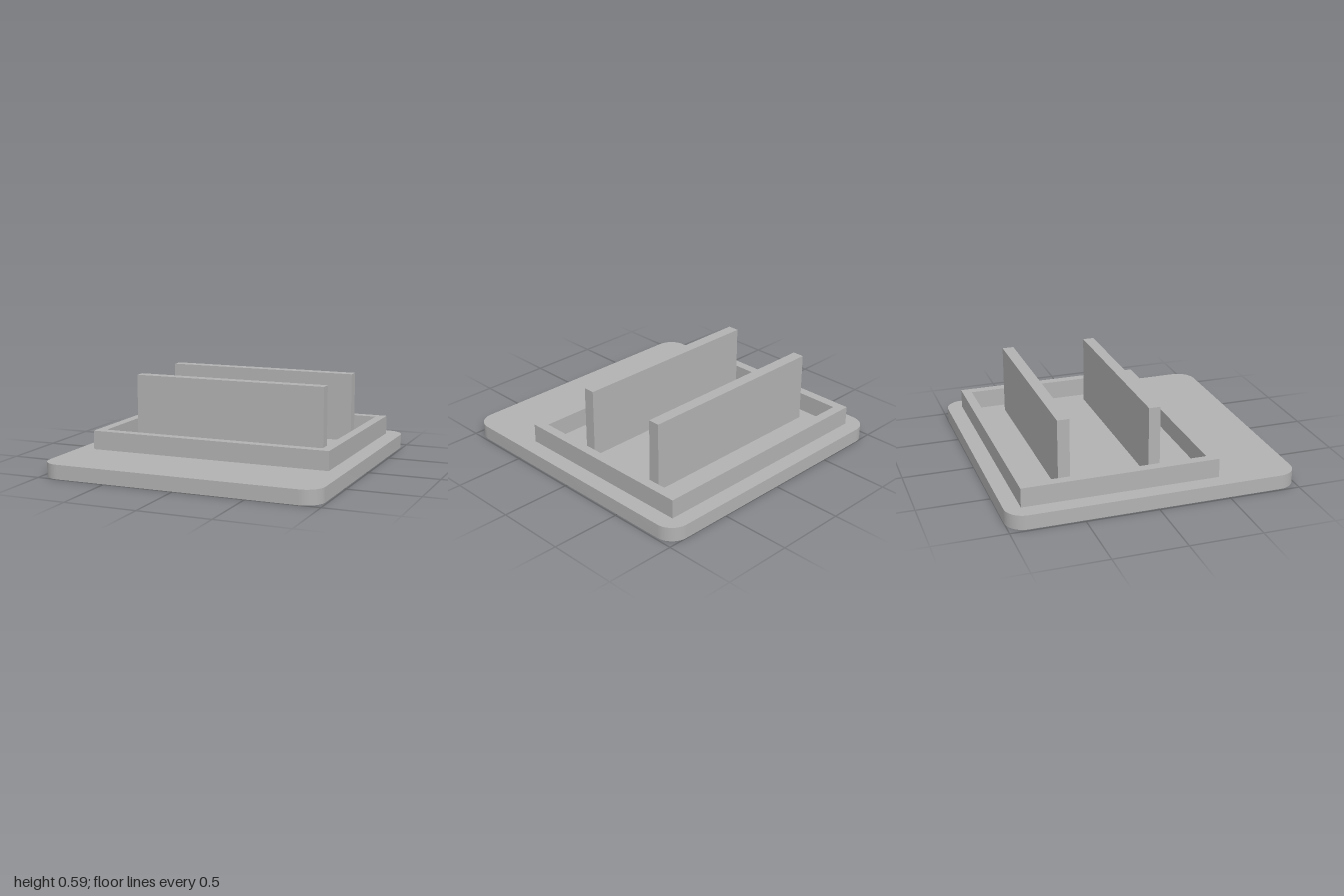
import * as THREE from 'three';
import { toCreasedNormals } from 'three/addons/utils/BufferGeometryUtils.js';

// Extrude a plan outline (x, -z) upward from y0 to y1
function slab(name, shape, y0, y1, material) {
  const extruded = new THREE.ExtrudeGeometry(shape, { depth: y1 - y0, bevelEnabled: false, curveSegments: 16 });
  extruded.rotateX(-Math.PI / 2).translate(0, y0, 0);
  const mesh = new THREE.Mesh(toCreasedNormals(extruded, Math.PI / 6), material);
  mesh.name = name;
  return mesh;
}

// Trace a rectangle in plan, given its half width and z range
function trace(path, hx, zBack, zFront) {
  path.moveTo(-hx, -zFront);
  path.lineTo(hx, -zFront);
  path.lineTo(hx, -zBack);
  path.lineTo(-hx, -zBack);
  path.closePath();
  return path;
}

// Rectangle with rounded corners, centred on the origin
function roundedPlan(hx, hz, r) {
  const s = new THREE.Shape();
  s.absarc(hx - r, hz - r, r, 0, Math.PI / 2);
  s.absarc(-hx + r, hz - r, r, Math.PI / 2, Math.PI);
  s.absarc(-hx + r, -hz + r, r, Math.PI, Math.PI * 1.5);
  s.absarc(hx - r, -hz + r, r, Math.PI * 1.5, Math.PI * 2);
  s.closePath();
  return s;
}

export function createModel() {
  const group = new THREE.Group();
  group.name = 'slottedCover';
  const grey = new THREE.MeshStandardMaterial({ color: 0xb2b2b2 });
  grey.name = 'grey';

  const baseTop = 0.1;

  // Rounded base plate
  group.add(slab('basePlate', roundedPlan(0.985, 1, 0.13), 0, baseTop, grey));

  // Raised rectangular rim, open in the middle
  const rim = trace(new THREE.Shape(), 0.87, -0.89, 0.468);
  rim.holes.push(trace(new THREE.Path(), 0.803, -0.823, 0.4));
  group.add(slab('rim', rim, baseTop, 0.233, grey));

  // Two upright walls inside the rim
  for (const [name, zBack, zFront] of [['backWall', -0.597, -0.515], ['frontWall', 0.027, 0.107]]) {
    group.add(slab(name, trace(new THREE.Shape(), 0.708, zBack, zFront), baseTop, 0.59, grey));
  }
  return group;
}
